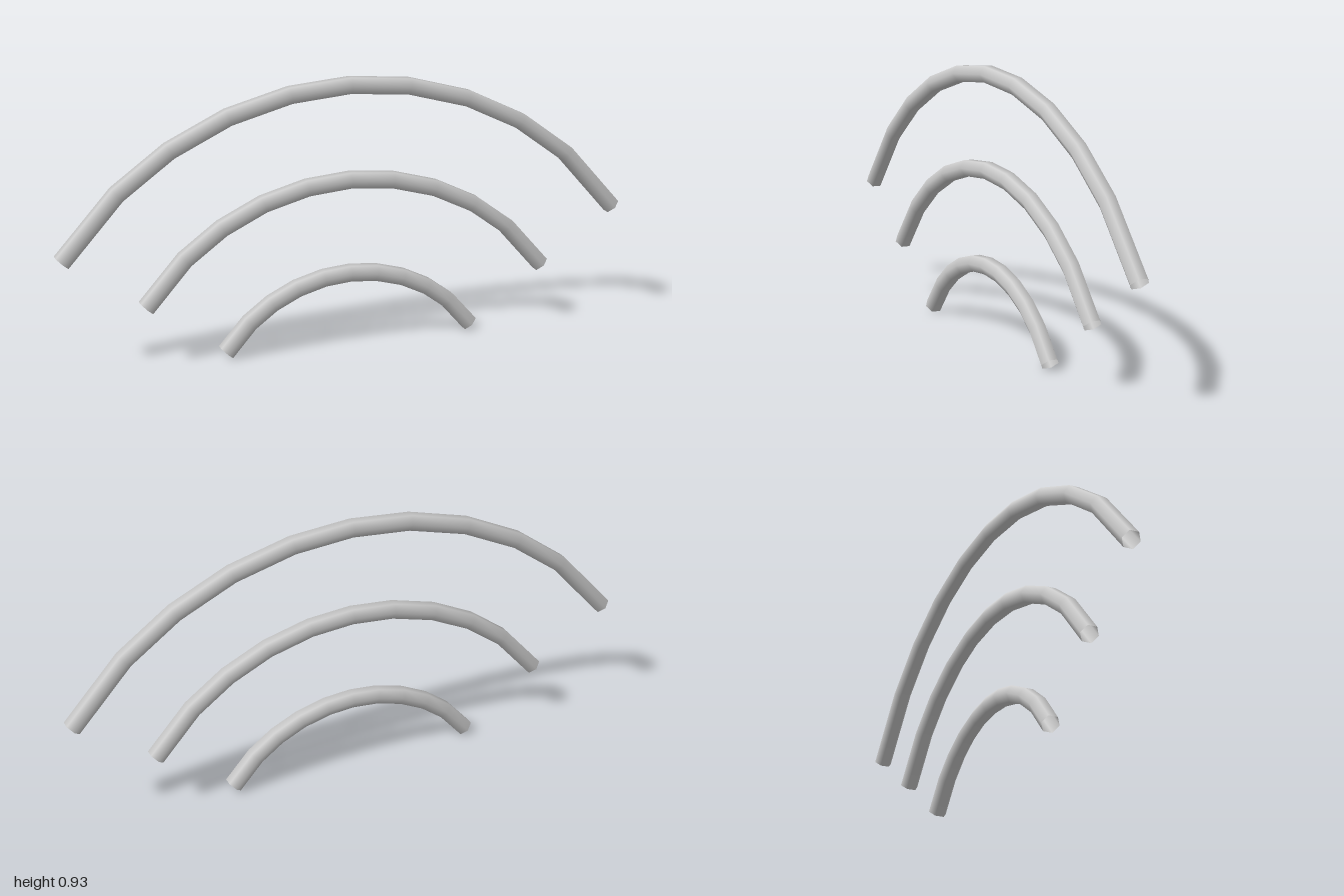
import * as THREE from 'three';

// Half of the ring positions along an arc, in degrees from its top
const STEPS = [0, 10, 20.5, 31, 41.5, 55];
const END_TILT = 47; // slope of the cut at the open ends
const RADIUS = 0.0315;

// Circular arc through both feet and the top, with rings at the angles above
class ArchCurve extends THREE.Curve {
  constructor(halfSpan, footY, topY) {
    super();
    const rise = topY - footY;
    this.r = (halfSpan * halfSpan + rise * rise) / (2 * rise);
    this.cy = topY - this.r;
    this.scale = Math.asin(halfSpan / this.r) / THREE.MathUtils.degToRad(55);
  }
  angle(u) {
    const s = u * 10 - 5;
    const i = Math.min(4, Math.floor(Math.abs(s) + 1e-6));
    const deg = THREE.MathUtils.lerp(STEPS[i], STEPS[i + 1], Math.abs(s) - i);
    return Math.sign(s) * THREE.MathUtils.degToRad(deg) * this.scale;
  }
  getPoint(u, target = new THREE.Vector3()) {
    const a = this.angle(u);
    return target.set(this.r * Math.sin(a), this.cy + this.r * Math.cos(a), 0);
  }
  getPointAt(u, target) {
    return this.getPoint(u, target);
  }
  getTangentAt(u, target = new THREE.Vector3()) {
    const limit = THREE.MathUtils.degToRad(END_TILT);
    const a = THREE.MathUtils.clamp(this.angle(u), -limit, limit);
    return target.set(Math.cos(a), -Math.sin(a), 0);
  }
}

export function createModel() {
  const model = new THREE.Group();
  model.name = 'signalArcs';
  const grey = new THREE.MeshStandardMaterial({ color: 0xcccccc, side: THREE.DoubleSide });
  grey.name = 'light grey';

  // Three nested hexagonal tubes, open at both ends
  const arcs = [
    ['innerArc', 0.441, 0.02, 0.253],
    ['middleArc', 0.709, 0.209, 0.581],
    ['outerArc', 0.98, 0.395, 0.905],
  ];
  for (const [name, halfSpan, footY, topY] of arcs) {
    const curve = new ArchCurve(halfSpan, footY, topY);
    const mesh = new THREE.Mesh(new THREE.TubeGeometry(curve, 10, RADIUS, 6, false), grey);
    mesh.name = name;
    model.add(mesh);
  }
  return model;
}
